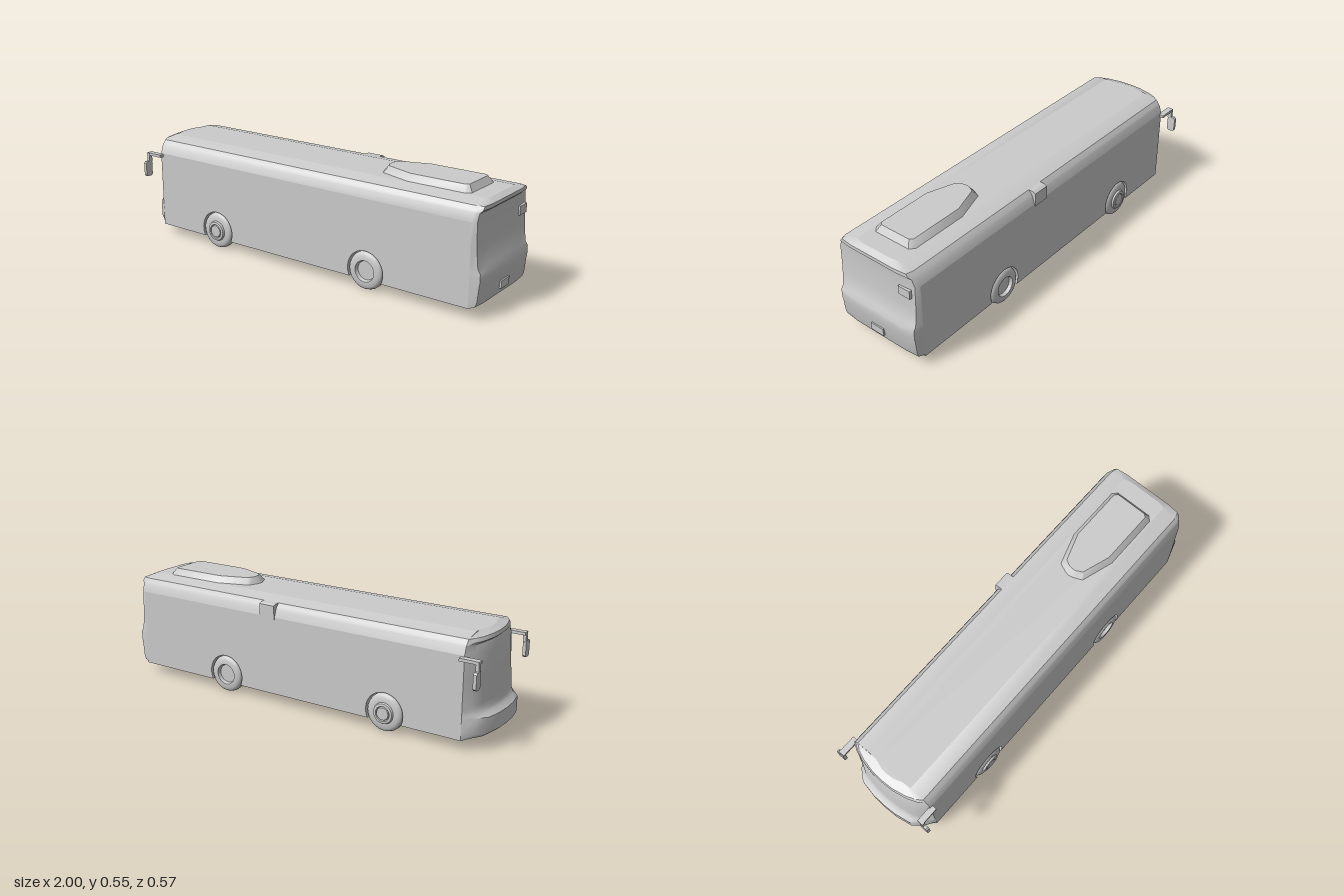
import * as THREE from 'three';
import { toCreasedNormals } from 'three/addons/utils/BufferGeometryUtils.js';

const W = 0.235, FLOOR = 0.05, FRONT = -0.89, REAR = 0.945;
const ARCH_R = 0.098, AXLE_Y = 0.093;
const ARCH_DX = Math.sqrt(ARCH_R ** 2 - (AXLE_Y - FLOOR) ** 2);
const AXLES = [
  { x: -0.505, inner: 0.165, front: true },
  { x: 0.41, inner: 0.1, front: false },
];

// Horizontal body layers: height, half width, nose x, tail x
const LAYERS = [
  [FLOOR, W, -0.92, 0.955], [0.06, W, -0.975, 0.98], [0.08, W, -1, 0.988],
  [0.155, W, -1, 0.995], [0.172, W, -0.978, 0.998], [0.19, W, -0.968, 0.998],
  [0.215, W, -0.966, 0.998], [0.235, W, -0.965, 0.985], [0.32, W, -0.958, 0.976],
  [0.44, W, -0.949, 0.972], [0.478, 0.222, -0.938, 0.975], [0.488, 0.215, -0.95, 0.986],
  [0.505, 0.2, -0.945, 0.986], [0.52, 0.125, -0.91, 0.957],
];

const grey = () => new THREE.MeshStandardMaterial({ color: 0xcccccc });
const grey2 = () => new THREE.MeshStandardMaterial({ color: 0xcccccc, side: THREE.DoubleSide });

function add(parent, name, geo, material = grey()) {
  const mesh = new THREE.Mesh(geo, material);
  mesh.name = name;
  parent.add(mesh);
  return mesh;
}

function box(parent, name, [x0, x1], [y0, y1], [z0, z1]) {
  const mesh = add(parent, name, new THREE.BoxGeometry(x1 - x0, y1 - y0, z1 - z0));
  mesh.position.set((x0 + x1) / 2, (y0 + y1) / 2, (z0 + z1) / 2);
  return mesh;
}

// Closed plan outline from half of it (nose to tail on +z)
const mirrorOutline = (half) => [
  ...half, ...half.slice(1, -1).reverse().map(([x, z]) => [x, -z]),
];

function halfPlan([, w, xf, xr]) {
  const xs = xf + 0.018;
  return [
    [xf, 0], [xf + 0.003, 0.3 * w], [xs, 0.65 * w], [FRONT + (xs - FRONT) * 0.55, 0.86 * w],
    [FRONT, w], [REAR, w], [xr - 0.007, 0.95 * w], [xr, 0.65 * w], [xr, 0],
  ];
}

// Surface through closed rings of equal point count; skip(i, j) leaves quads open
function loft(rings, skip = () => false) {
  const n = rings[0].length, index = [];
  for (let j = 0; j < rings.length - 1; j++) {
    for (let i = 0; i < n; i++) {
      if (skip(i, j)) continue;
      const k = (i + 1) % n, a = j * n;
      index.push(a + i, a + k, a + n + k, a + i, a + n + k, a + n + i);
    }
  }
  const geo = new THREE.BufferGeometry();
  geo.setAttribute('position', new THREE.Float32BufferAttribute(rings.flat(2), 3));
  geo.setIndex(index);
  return toCreasedNormals(geo, 0.65);
}

function flat(points, y, up) {
  const shape = new THREE.Shape(points.map(([x, z]) => new THREE.Vector2(x, up ? -z : z)));
  return new THREE.ShapeGeometry(shape).rotateX(up ? -Math.PI / 2 : Math.PI / 2).translate(0, y, 0);
}

function buildBody(parent) {
  const rings = LAYERS.map((l) => mirrorOutline(halfPlan(l)).map(([x, z]) => [x, l[0], z]));
  // The flat sides are separate panels with arches
  add(parent, 'bodyShell', loft(rings, (i, j) => (i === 4 || i === 11) && LAYERS[j + 1][1] === W));
  add(parent, 'roof', flat(mirrorOutline(halfPlan(LAYERS.at(-1))), 0.52, true));

  // Underside, notched around the wheels
  const half = halfPlan(LAYERS[0]);
  const notches = AXLES.flatMap(({ x, inner }) => [
    [x - ARCH_DX, W], [x - ARCH_DX, inner], [x + ARCH_DX, inner], [x + ARCH_DX, W],
  ]);
  half.splice(5, 0, ...notches);
  add(parent, 'underside', flat(mirrorOutline(half), FLOOR, false));

  // Side panel with wheel arches
  const side = new THREE.Shape();
  side.moveTo(FRONT, FLOOR);
  const a = Math.asin((AXLE_Y - FLOOR) / ARCH_R);
  for (const { x } of AXLES) {
    side.lineTo(x - ARCH_DX, FLOOR);
    side.absarc(x, AXLE_Y, ARCH_R, Math.PI + a, -a, true);
  }
  side.lineTo(REAR, FLOOR).lineTo(REAR, 0.44).lineTo(FRONT, 0.44);
  for (const s of [1, -1]) {
    const panel = add(parent, s > 0 ? 'leftSidePanel' : 'rightSidePanel',
      new THREE.ShapeGeometry(side, 12), grey2());
    panel.position.z = s * W;
  }
}

// Lathe around z from [radius, z] points
const turned = (pts) => toCreasedNormals(
  new THREE.LatheGeometry(pts.map(([r, z]) => new THREE.Vector2(r, z)), 24).rotateX(Math.PI / 2), 0.6);

const TYRE = [[0.052, -0.028], [0.076, -0.028], [0.088, -0.02], [0.093, -0.008],
  [0.093, 0.008], [0.088, 0.02], [0.076, 0.028], [0.052, 0.028]];
const INNER_DISC = [[0, -0.02], [0.048, -0.02], [0.052, -0.028]];
const FRONT_HUB = [[0.052, 0.028], [0.048, 0.037], [0.036, 0.039], [0.033, 0.03], [0.03, 0.039], [0, 0.039]];
const REAR_HUB = [[0.052, 0.028], [0.046, 0.012], [0, 0.012]];

function buildWheels(parent) {
  const open = Math.acos((AXLE_Y - FLOOR) / ARCH_R);
  for (const { x, inner, front } of AXLES) {
    for (const s of [1, -1]) {
      const corner = new THREE.Group();
      corner.name = front ? 'frontWheel' : 'rearWheel';
      corner.position.set(x, AXLE_Y, 0);
      corner.rotation.y = s > 0 ? 0 : Math.PI;
      parent.add(corner);
      const profile = [...INNER_DISC, ...TYRE, ...(front ? FRONT_HUB : REAR_HUB)];
      add(corner, 'outerWheel', turned(profile), grey2()).position.z = 0.212;
      if (!front) {
        add(corner, 'innerWheel', turned([...INNER_DISC, ...TYRE, ...REAR_HUB]), grey2()).position.z = 0.142;
      }
      // Wheel well
      const depth = W - inner;
      add(corner, 'wheelWell', new THREE.CylinderGeometry(ARCH_R, ARCH_R, depth, 20, 1, true,
        open, 2 * Math.PI - 2 * open).rotateX(Math.PI / 2).translate(0, 0, inner + depth / 2), grey2());
      const wall = new THREE.Shape().absarc(0, 0, ARCH_R, open - Math.PI / 2, 1.5 * Math.PI - open, false);
      add(corner, 'wellWall', new THREE.ShapeGeometry(wall, 12).translate(0, 0, inner), grey2());
    }
  }
}

function buildRoofUnit(parent) {
  const base = mirrorOutline([[0.36, 0], [0.365, 0.025], [0.385, 0.07], [0.55, 0.122], [0.845, 0.122], [0.87, 0.1], [0.87, 0]]);
  const top = mirrorOutline([[0.39, 0], [0.393, 0.02], [0.41, 0.05], [0.55, 0.096], [0.83, 0.096], [0.845, 0.082], [0.845, 0]]);
  const ring = (pts, y) => pts.map(([x, z]) => [x, y, z]);
  add(parent, 'roofUnitSides', loft([ring(base, 0.515), ring(top, 0.552)]));
  add(parent, 'roofUnitTop', flat(top, 0.552, true));
}

function buildMirrors(parent) {
  for (const s of [1, -1]) {
    const mirror = new THREE.Group();
    mirror.name = s > 0 ? 'leftMirror' : 'rightMirror';
    parent.add(mirror);
    const span = (a, b) => (s > 0 ? [a, b] : [-b, -a]);
    box(mirror, 'mirrorArm', [-0.97, -0.875], [0.421, 0.435], span(0.228, 0.258));
    box(mirror, 'mirrorStem', [-0.97, -0.955], [0.385, 0.435], span(0.24, 0.26));
    // Plate with clipped corners
    const h = 0.04, w = 0.021, c = 0.008;
    const plate = new THREE.Shape([[-w + c, -h], [w - c, -h], [w, -h + c], [w, h - c],
      [w - c, h], [-w + c, h], [-w, h - c], [-w, -h + c]].map((p) => new THREE.Vector2(...p)));
    const geo = new THREE.ExtrudeGeometry(plate, { depth: 0.016, bevelEnabled: false }).rotateY(Math.PI / 2);
    add(mirror, 'mirrorPlate', geo).position.set(-0.972, 0.351, s * 0.262);
  }
}

function buildDetails(parent) {
  box(parent, 'licensePlate', [0.975, 0.999], [0.09, 0.127], [-0.037, 0.037]);
  box(parent, 'rearVent', [0.955, 0.982], [0.377, 0.42], [-0.205, -0.14]);

  // Box on the right roof edge, with a sloped outer corner
  const profile = new THREE.Shape([[0.19, 0.43], [0.24, 0.43], [0.24, 0.498], [0.225, 0.505], [0.19, 0.505]]
    .map((p) => new THREE.Vector2(...p)));
  const geo = new THREE.ExtrudeGeometry(profile, { depth: 0.085, bevelEnabled: false }).rotateY(Math.PI / 2);
  add(parent, 'sideSignBox', geo).position.x = 0.105;
}

export function createModel() {
  const bus = new THREE.Group();
  bus.name = 'bus';
  buildBody(bus);
  buildWheels(bus);
  buildRoofUnit(bus);
  buildMirrors(bus);
  buildDetails(bus);
  return bus;
}
